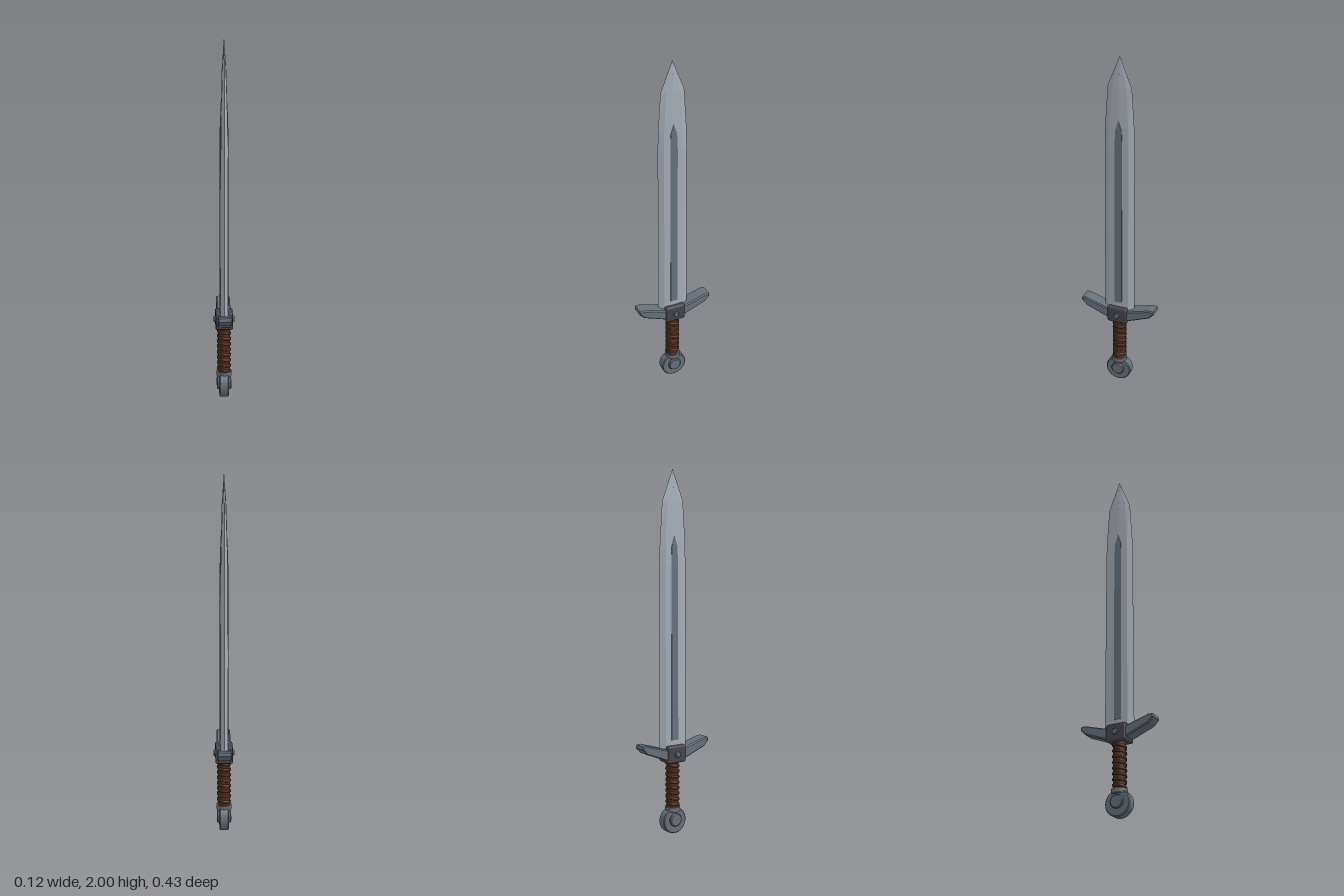
import * as THREE from 'three';
import { RoundedBoxGeometry } from 'three/addons/geometries/RoundedBoxGeometry.js';

const mat = (name, color, flatShading = false) => {
  const m = new THREE.MeshStandardMaterial({ color, flatShading });
  m.name = name;
  return m;
};

// Stacks rings of [x, z] points (counterclockwise from above) at given heights.
function loft(rings) {
  const pos = [];
  const n = rings[0].pts.length;
  const put = (r, i) => pos.push(r.pts[i % n][0], r.y, r.pts[i % n][1]);
  for (let k = 0; k < rings.length - 1; k++) {
    const a = rings[k], b = rings[k + 1];
    for (let i = 0; i < n; i++) {
      put(a, i); put(a, i + 1); put(b, i + 1);
      put(a, i); put(b, i + 1); put(b, i);
    }
  }
  const first = rings[0], last = rings[rings.length - 1];
  for (let i = 1; i < n - 1; i++) {
    put(first, 0); put(first, i + 1); put(first, i);
    put(last, 0); put(last, i); put(last, i + 1);
  }
  const g = new THREE.BufferGeometry();
  g.setAttribute('position', new THREE.Float32BufferAttribute(pos, 3));
  g.computeVertexNormals();
  return g;
}

// Disc with chamfered rims, its axis along x.
function disc(radius, half, bevel, segments = 32) {
  const profile = [[0, -half], [radius - bevel, -half], [radius, -half + bevel],
    [radius, half - bevel], [radius - bevel, half], [0, half]];
  const g = new THREE.LatheGeometry(profile.map(p => new THREE.Vector2(...p)), segments);
  return g.rotateZ(Math.PI / 2);
}

export function createModel() {
  const sword = new THREE.Group();
  sword.name = 'sword';
  const steel = mat('blade steel', 0xa6adb7, true);
  const groove = mat('dark fuller steel', 0x68717d, true);
  const iron = mat('guard iron', 0x67707a, true);
  const dark = mat('dark guard block', 0x44444d, true);
  const leather = mat('grip leather', 0x54311d);
  const cord = mat('grip cord', 0x462716);

  const add = (name, geometry, material, x = 0, y = 0, z = 0) => {
    const m = new THREE.Mesh(geometry, material);
    m.name = name;
    m.position.set(x, y, z);
    sword.add(m);
    return m;
  };

  // Blade: height, edge half-width, bevel half-width, bevel thickness, ridge thickness
  const sections = [
    [0.46, 0.088, 0.058, 0.02, 0.024],
    [1.5, 0.084, 0.056, 0.018, 0.021],
    [1.6, 0.082, 0.054, 0.016, 0.019],
    [1.83, 0.067, 0.04, 0.009, 0.012],
    [2.0, 0.0005, 0.0003, 0.0003, 0.0005],
  ];
  add('blade', loft(sections.map(([y, w, f, t, r]) => ({
    y,
    pts: [[r, 0], [t, -f], [0, -w], [-t, -f], [-r, 0], [-t, f], [0, w], [t, f]],
  }))), steel);

  // Fuller showing on both faces of the blade, pointed at the top
  const fuller = [[0.53, 0.021, 0.0255], [1.5, 0.021, 0.0225], [1.59, 0.018, 0.0205], [1.645, 0.001, 0.019]];
  add('fuller', loft(fuller.map(([y, w, t]) => ({
    y, pts: [[t, w], [t, -w], [-t, -w], [-t, w]],
  }))), groove);

  // Guard: dark centre block, rivets and two upswept arms
  add('guardBlock', new RoundedBoxGeometry(0.096, 0.096, 0.116, 2, 0.01), dark, 0, 0.453, 0);
  const arm = new THREE.Shape();
  arm.moveTo(0.03, 0.424);
  arm.lineTo(0.065, 0.43);
  arm.lineTo(0.185, 0.478);
  arm.lineTo(0.211, 0.505);
  arm.lineTo(0.209, 0.516);
  arm.lineTo(0.19, 0.517);
  arm.lineTo(0.06, 0.478);
  arm.lineTo(0.03, 0.474);
  for (const side of [1, -1]) {
    const g = new THREE.ExtrudeGeometry(arm, {
      depth: 0.066, bevelEnabled: true, bevelThickness: 0.006, bevelSize: 0.006, bevelSegments: 1,
    });
    g.translate(0, 0, -0.033).rotateY(-side * Math.PI / 2);
    add(side > 0 ? 'frontGuardArm' : 'backGuardArm', g, iron);
    add('guardRivet', disc(0.017, 0.01, 0.004, 16), iron, side * 0.048, 0.453, 0);
  }

  // Grip with a spiral cord
  add('grip', new THREE.CylinderGeometry(0.034, 0.034, 0.28, 24), leather, 0, 0.275, 0);
  const turns = 8, helix = [];
  for (let i = 0; i <= turns * 12; i++) {
    const a = (i / 12) * Math.PI * 2;
    helix.push(new THREE.Vector3(Math.cos(a) * 0.031, 0.152 + 0.25 * i / (turns * 12), Math.sin(a) * 0.031));
  }
  add('gripCord', new THREE.TubeGeometry(new THREE.CatmullRomCurve3(helix), turns * 20, 0.0095, 8), cord);

  // Collar and round pommel
  add('pommelCollar', new THREE.CylinderGeometry(0.043, 0.043, 0.026, 24), iron, 0, 0.138, 0);
  add('pommel', disc(0.073, 0.026, 0.005), iron, 0, 0.073, 0);
  add('pommelBoss', disc(0.037, 0.04, 0.005), iron, 0, 0.079, 0);
  return sword;
}
